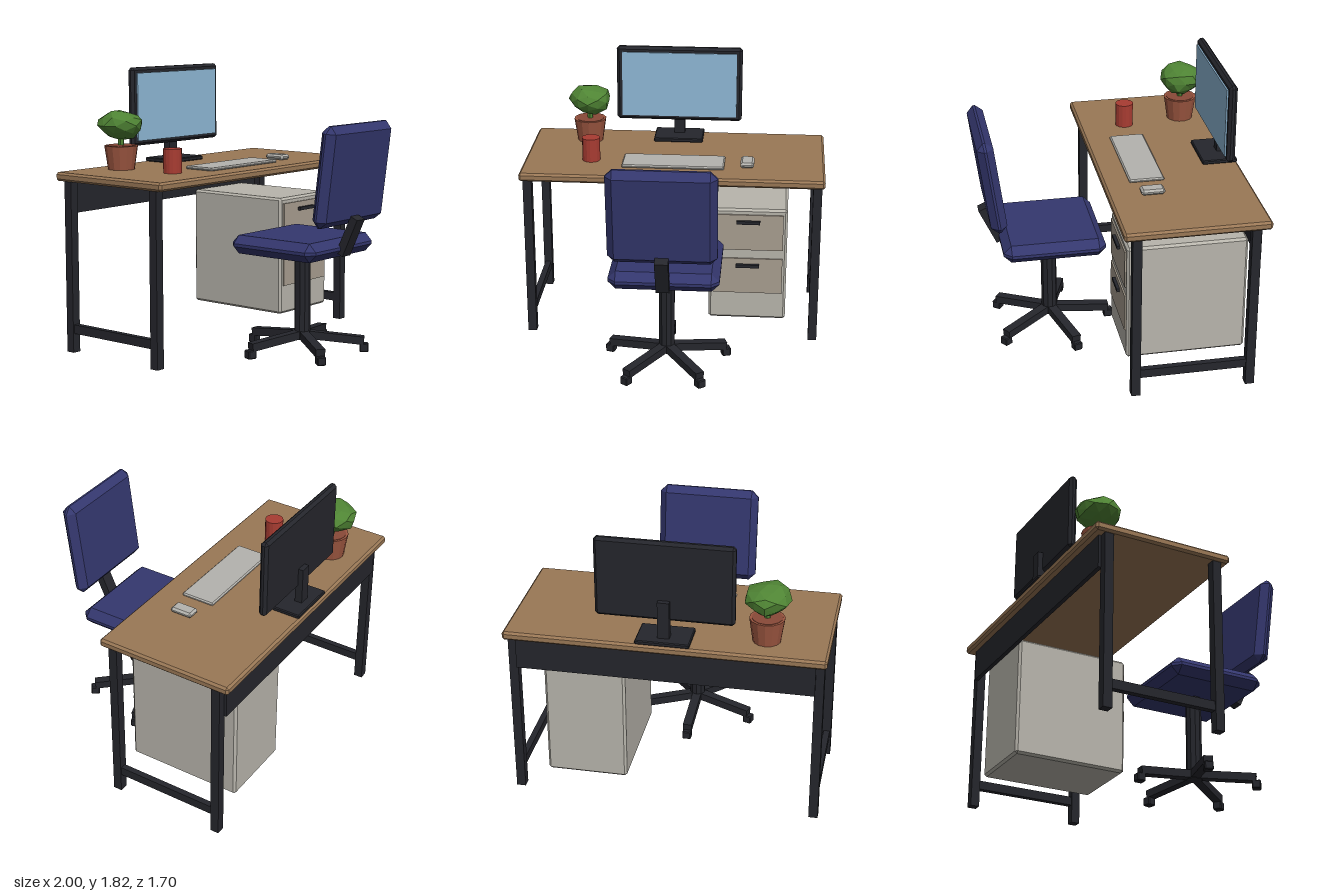
import * as THREE from 'three';
import { ConvexGeometry } from 'three/addons/geometries/ConvexGeometry.js';
import { mergeVertices } from 'three/addons/utils/BufferGeometryUtils.js';

const mat = (color) => new THREE.MeshStandardMaterial({ color, flatShading: true });
const M = {
  wood: mat(0x9a7856), metal: mat(0x25262c), cabinet: mat(0xb8b5ac), drawer: mat(0xa89e90),
  screen: mat(0x8fb8d6), fabric: mat(0x34376e), pot: mat(0x9c5640), soil: mat(0x8a4a38),
  leaf: mat(0x4f8434), mug: mat(0xa83c32), keys: mat(0xb4b3ae),
};

// Box with single-facet chamfers on all edges
function chamferBox(w, h, d, c) {
  const pts = [], x = w / 2, y = h / 2, z = d / 2;
  for (const i of [-1, 1]) for (const j of [-1, 1]) for (const k of [-1, 1]) {
    pts.push(new THREE.Vector3(i * x, j * (y - c), k * (z - c)),
      new THREE.Vector3(i * (x - c), j * y, k * (z - c)),
      new THREE.Vector3(i * (x - c), j * (y - c), k * z));
  }
  return new ConvexGeometry(pts);
}

function add(parent, name, geometry, material, x, y, z) {
  const mesh = new THREE.Mesh(geometry, material);
  mesh.name = name;
  mesh.position.set(x, y, z);
  parent.add(mesh);
  return mesh;
}

// Box given by its extents, chamfered when c > 0
function box(parent, name, material, [x0, x1], [y0, y1], [z0, z1], c = 0) {
  const s = [x1 - x0, y1 - y0, z1 - z0];
  const g = c ? chamferBox(...s, c) : new THREE.BoxGeometry(...s);
  return add(parent, name, g, material, (x0 + x1) / 2, (y0 + y1) / 2, (z0 + z1) / 2);
}

function group(parent, name) {
  const g = new THREE.Group();
  g.name = name;
  parent.add(g);
  return g;
}

function buildDesk(root) {
  const desk = group(root, 'desk');
  box(desk, 'desktop', M.wood, [-1, 1], [1.112, 1.168], [-0.85, 0.065], 0.014);
  for (const s of [-1, 1]) {
    const xs = [s * 0.953 - 0.029, s * 0.953 + 0.029];
    box(desk, 'frontLeg', M.metal, xs, [0, 1.115], [-0.048, 0.01]);
    box(desk, 'backLeg', M.metal, xs, [0, 1.115], [-0.785, -0.727]);
    box(desk, 'sideRail', M.metal, [s * 0.953 - 0.02, s * 0.953 + 0.02], [0.125, 0.183], [-0.73, -0.045]);
  }
  box(desk, 'backPanel', M.metal, [-0.93, 0.93], [0.9, 1.115], [-0.802, -0.775]);
}

function buildCabinet(root) {
  const cabinet = group(root, 'drawerCabinet');
  box(cabinet, 'cabinetBody', M.cabinet, [0.25, 0.765], [0.145, 0.937], [-0.77, 0], 0.015);
  for (const y of [0.775, 0.463]) {
    box(cabinet, 'drawerFront', M.drawer, [0.28, 0.738], [y - 0.125, y + 0.125], [-0.02, 0.01]);
    box(cabinet, 'drawerHandle', M.metal, [0.43, 0.585], [y + 0.065, y + 0.087], [0.005, 0.03]);
  }
}

function buildMonitor(root) {
  const monitor = group(root, 'monitor');
  box(monitor, 'monitorCasing', M.metal, [-0.43, 0.43], [1.297, 1.816], [-0.757, -0.704], 0.018);
  box(monitor, 'monitorScreen', M.screen, [-0.392, 0.392], [1.33, 1.78], [-0.715, -0.694]);
  box(monitor, 'monitorNeck', M.metal, [-0.037, 0.037], [1.18, 1.435], [-0.79, -0.74]);
  box(monitor, 'monitorBase', M.metal, [-0.168, 0.168], [1.168, 1.195], [-0.845, -0.615], 0.006);
}

function buildDeskItems(root) {
  box(root, 'keyboard', M.keys, [-0.34, 0.337], [1.166, 1.188], [-0.325, -0.098], 0.008);
  box(root, 'mouse', M.keys, [0.443, 0.533], [1.17, 1.206], [-0.288, -0.138], 0.013);
  add(root, 'mug', new THREE.CylinderGeometry(0.06, 0.06, 0.157, 16), M.mug, -0.555, 1.246, -0.24);

  const plant = group(root, 'pottedPlant');
  plant.position.set(-0.61, 1.168, -0.64);
  add(plant, 'pot', new THREE.CylinderGeometry(0.11, 0.087, 0.155, 14), M.pot, 0, 0.0775, 0);
  add(plant, 'soil', new THREE.CylinderGeometry(0.095, 0.095, 0.006, 14), M.soil, 0, 0.155, 0);
  add(plant, 'stem', new THREE.CylinderGeometry(0.02, 0.02, 0.1, 6), M.leaf, 0, 0.19, 0);

  // Foliage: irregular faceted ball, flattened
  let leaves = new THREE.IcosahedronGeometry(1, 1);
  leaves.deleteAttribute('normal');
  leaves.deleteAttribute('uv');
  leaves = mergeVertices(leaves, 1e-4);
  const p = leaves.attributes.position, v = new THREE.Vector3();
  for (let i = 0; i < p.count; i++) {
    const r = 0.97 + 0.09 * Math.sin(i * 12.9898 + 1.3);
    v.fromBufferAttribute(p, i).multiplyScalar(r);
    p.setXYZ(i, v.x, v.y, v.z);
  }
  leaves.scale(0.14, 0.105, 0.152);
  leaves.computeVertexNormals();
  add(plant, 'foliage', leaves, M.leaf, 0, 0.288, -0.01);
}

function buildChair(root) {
  const chair = group(root, 'chair');
  chair.position.z = 0.38;
  box(chair, 'seat', M.fabric, [-0.35, 0.35], [0.65, 0.77], [-0.335, 0.33], 0.05);

  const back = add(chair, 'backrest', chamferBox(0.68, 0.64, 0.105, 0.045), M.fabric, 0, 1.187, 0.387);
  back.rotation.x = 0.13;
  const bar = add(chair, 'backSupport', new THREE.BoxGeometry(0.085, 0.265, 0.055), M.metal, 0, 0.793, 0.375);
  bar.rotation.x = 0.43;

  add(chair, 'post', new THREE.CylinderGeometry(0.052, 0.052, 0.58, 10), M.metal, 0, 0.37, 0);

  // Five-spoke foot, one spoke pointing at the desk
  for (let i = 0; i < 5; i++) {
    const spoke = group(chair, 'spoke');
    spoke.rotation.y = Math.PI + i * Math.PI * 0.4;
    const arm = add(spoke, 'spokeArm', new THREE.BoxGeometry(0.06, 0.052, 0.4), M.metal, 0, 0.094, 0.2);
    arm.rotation.x = 0.1;
    box(spoke, 'caster', M.metal, [-0.029, 0.029], [0, 0.056], [0.371, 0.429], 0.006);
  }
}

export function createModel() {
  const root = new THREE.Group();
  root.name = 'deskWorkstation';
  buildDesk(root);
  buildCabinet(root);
  buildMonitor(root);
  buildDeskItems(root);
  buildChair(root);
  return root;
}
